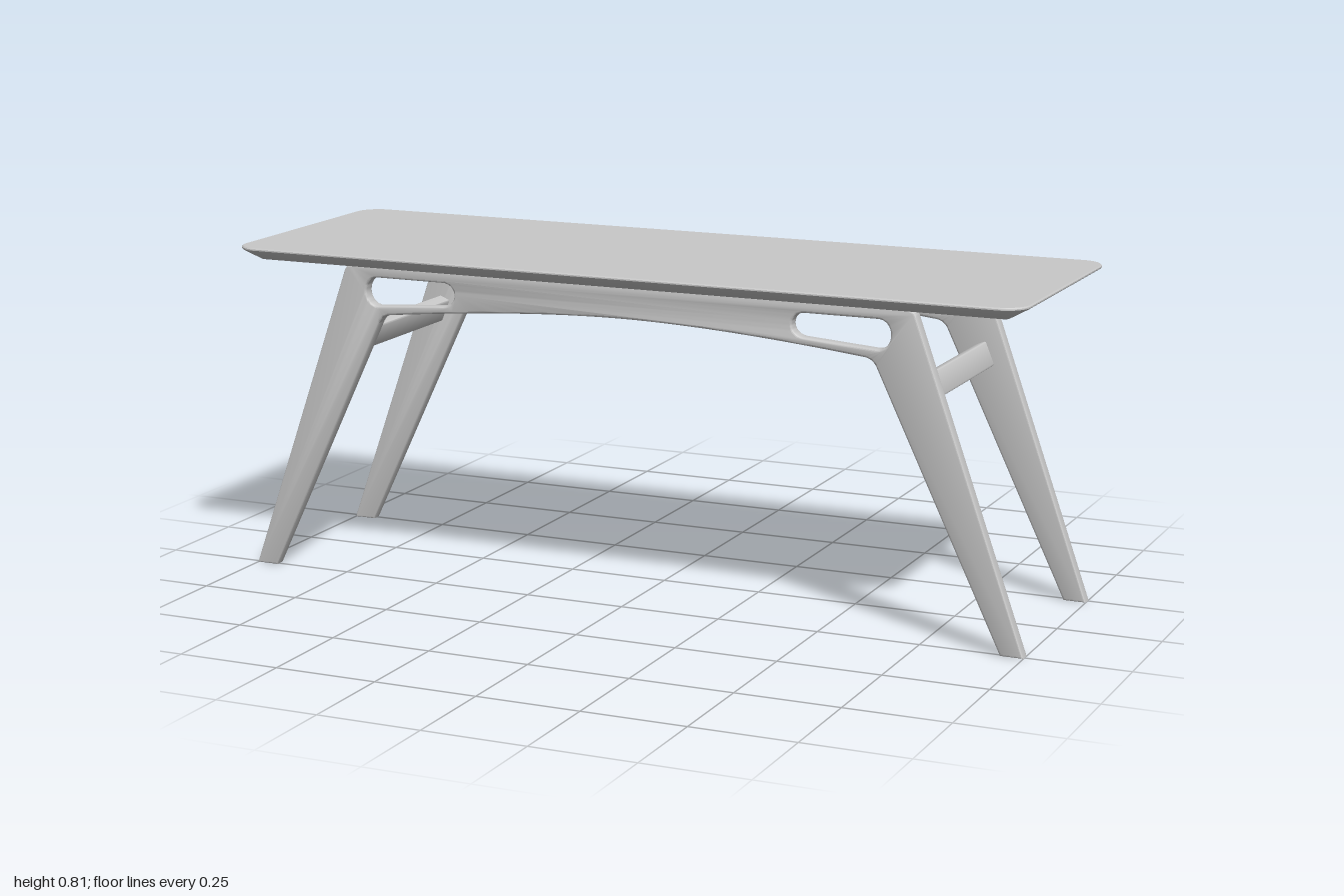
import * as THREE from 'three';
import { toCreasedNormals } from 'three/addons/utils/BufferGeometryUtils.js';

const paint = new THREE.MeshStandardMaterial({ color: 0xc8c8c8 });
paint.name = 'light grey';

function addMesh(parent, name, geometry) {
  const mesh = new THREE.Mesh(toCreasedNormals(geometry, 0.6), paint);
  mesh.name = name;
  parent.add(mesh);
  return mesh;
}

// Extrude along z, centred, with small rounded edges inside the outline
function softExtrude(shape, depth, bevel) {
  const g = new THREE.ExtrudeGeometry(shape, {
    depth: depth - 2 * bevel, curveSegments: 16, bevelEnabled: true,
    bevelThickness: bevel, bevelSize: bevel, bevelOffset: -bevel, bevelSegments: 3,
  });
  return g.translate(0, 0, -depth / 2 + bevel);
}

// Turned edge profile pushed out to the four corners of a rectangle
function tabletopGeometry(halfX, halfZ, radius) {
  const profile = [
    [0, 0.778], [radius - 0.048, 0.778], [radius - 0.003, 0.803],
    [radius, 0.806], [radius, 0.809], [radius - 0.003, 0.812], [0, 0.812],
  ].map(([r, y]) => new THREE.Vector2(r, y));
  const segments = 40;
  const g = new THREE.LatheGeometry(profile, segments, Math.PI / segments);
  const p = g.attributes.position;
  for (let i = 0; i < p.count; i++) {
    const x = p.getX(i), z = p.getZ(i);
    if (Math.hypot(x, z) < 1e-5) continue;
    p.setX(i, x + Math.sign(x) * (halfX - radius));
    p.setZ(i, z + Math.sign(z) * (halfZ - radius));
  }
  return g;
}

// Rounded handle slot with a slightly sloping lower edge; s is the side
function slot(s) {
  const h = new THREE.Path();
  h.moveTo(s * 0.465, 0.75);
  h.lineTo(s * 0.64, 0.75);
  h.bezierCurveTo(s * 0.683, 0.75, s * 0.683, 0.679, s * 0.637, 0.68);
  h.lineTo(s * 0.462, 0.693);
  h.bezierCurveTo(s * 0.422, 0.697, s * 0.422, 0.75, s * 0.465, 0.75);
  return h;
}

// Two splayed legs joined by an arched rail
function frameShape() {
  const f = new THREE.Shape();
  f.moveTo(-1, 0);
  f.lineTo(-0.945, 0);
  f.lineTo(-0.639, 0.638);
  f.quadraticCurveTo(-0.63, 0.657, -0.61, 0.66);
  f.quadraticCurveTo(-0.25, 0.70, 0, 0.70);
  f.quadraticCurveTo(0.25, 0.70, 0.61, 0.66);
  f.quadraticCurveTo(0.63, 0.657, 0.639, 0.638);
  f.lineTo(0.945, 0);
  f.lineTo(1, 0);
  f.lineTo(0.731, 0.762);
  f.quadraticCurveTo(0.725, 0.778, 0.708, 0.778);
  f.lineTo(-0.708, 0.778);
  f.quadraticCurveTo(-0.725, 0.778, -0.731, 0.762);
  f.lineTo(-1, 0);
  f.holes.push(slot(-1), slot(1));
  return f;
}

// Flat bar section with rounded corners
function barShape(w, h, r) {
  const s = new THREE.Shape();
  const x = w / 2 - r, y = h / 2 - r;
  s.absarc(x, y, r, 0, Math.PI / 2);
  s.absarc(-x, y, r, Math.PI / 2, Math.PI);
  s.absarc(-x, -y, r, Math.PI, Math.PI * 1.5);
  s.absarc(x, -y, r, Math.PI * 1.5, Math.PI * 2);
  s.closePath();
  return s;
}

export function createModel() {
  const table = new THREE.Group();
  table.name = 'table';

  addMesh(table, 'tabletop', tabletopGeometry(1, 0.333, 0.06));

  // Front and back leg frames
  for (const s of [1, -1]) {
    const frame = addMesh(table, s > 0 ? 'frontLegFrame' : 'backLegFrame',
      softExtrude(frameShape(), 0.032, 0.005));
    frame.position.z = s * 0.246;
  }

  // Crossbars between the frames, tilted with the legs
  for (const s of [1, -1]) {
    const bar = addMesh(table, s > 0 ? 'leftCrossbar' : 'rightCrossbar',
      new THREE.ExtrudeGeometry(barShape(0.03, 0.061, 0.004), { depth: 0.47, bevelEnabled: false, curveSegments: 4 })
        .translate(0, 0, -0.235));
    bar.position.set(s * 0.733, 0.583, 0);
    bar.rotation.z = s * 0.39;
  }

  return table;
}
